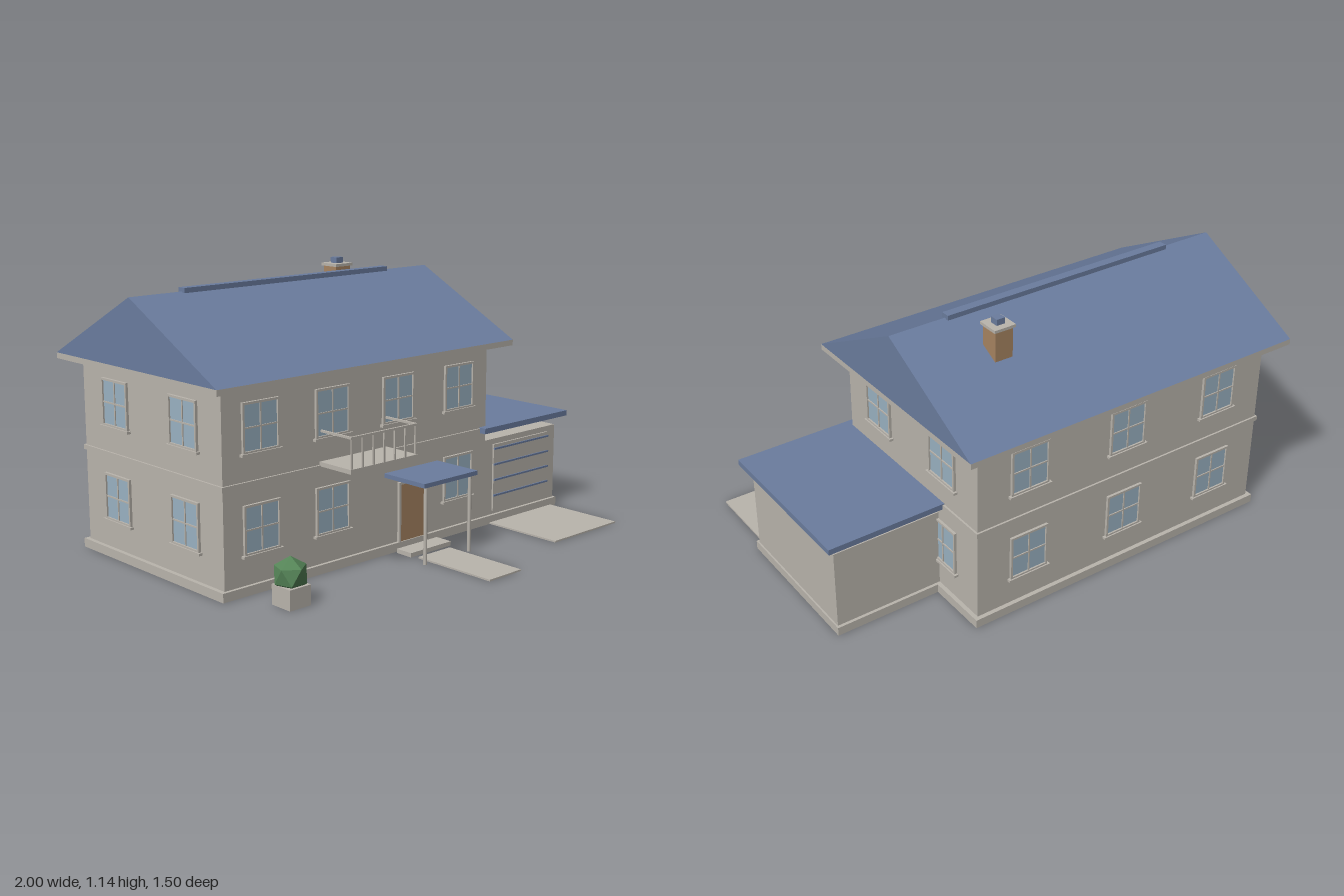
import * as THREE from 'three';

const mat = (name, color) => Object.assign(new THREE.MeshStandardMaterial({ color }), { name });

export function createModel() {
  const stone = mat('stone', 0xbab5ad);
  const roofBlue = mat('roof blue', 0x6b7d9f);
  const glass = mat('window glass', 0x9bb3c3);
  const wood = mat('brown', 0xa88562);
  const leaf = mat('leaf green', 0x568558);
  leaf.flatShading = true;

  const house = new THREE.Group();
  house.name = 'house';

  const add = (parent, name, geometry, material) => {
    const mesh = new THREE.Mesh(geometry, material);
    mesh.name = name;
    parent.add(mesh);
    return mesh;
  };
  // Box given by its limits along x, y and z
  const box = (name, material, [x0, x1], [y0, y1], [z0, z1], parent = house) => {
    const mesh = add(parent, name, new THREE.BoxGeometry(x1 - x0, y1 - y0, z1 - z0), material);
    mesh.position.set((x0 + x1) / 2, (y0 + y1) / 2, (z0 + z1) / 2);
    return mesh;
  };
  // Rectangular frame standing in the xy plane
  const frameGeometry = (w, h, border, depth) => {
    const rect = (type, a, b) => new type([
      new THREE.Vector2(-a, -b), new THREE.Vector2(a, -b),
      new THREE.Vector2(a, b), new THREE.Vector2(-a, b)]);
    const shape = rect(THREE.Shape, w / 2, h / 2);
    shape.holes.push(rect(THREE.Path, w / 2 - border, h / 2 - border));
    return new THREE.ExtrudeGeometry(shape, { depth, bevelEnabled: false });
  };

  // Walls, with a plinth and a belt course around the main block
  const L = -0.927, R = 0.493, F = 0.228, B = -0.678;
  box('mainWalls', stone, [L, R], [0, 0.8], [B, F]);
  box('mainPlinth', stone, [L - 0.018, R + 0.018], [0, 0.037], [B - 0.018, F + 0.014]);
  box('beltCourse', stone, [L - 0.008, R + 0.008], [0.417, 0.437], [B - 0.008, F + 0.008]);
  box('garageWalls', stone, [R, 0.96], [0, 0.376], [-0.415, F]);
  box('garagePlinth', stone, [R, 0.967], [0, 0.037], [-0.428, F + 0.014]);

  // Main roof: eave slab, gable prism and ridge cap
  box('eaves', stone, [-1, 0.575], [0.793, 0.817], [-0.755, 0.302]);
  const gable = new THREE.Shape([
    new THREE.Vector2(-0.302, 0.817), new THREE.Vector2(0.755, 0.817), new THREE.Vector2(0.227, 1.092)]);
  const roofGeometry = new THREE.ExtrudeGeometry(gable, { depth: 1.575, bevelEnabled: false });
  roofGeometry.rotateY(Math.PI / 2).translate(-1, 0, 0);
  add(house, 'mainRoof', roofGeometry, roofBlue);
  box('ridgeCap', roofBlue, [-0.757, 0.325], [1.087, 1.107], [-0.246, -0.208]);

  // Chimney
  box('chimneyStack', wood, [0.171, 0.251], [0.9, 1.103], [-0.448, -0.368]);
  box('chimneyCap', stone, [0.163, 0.259], [1.103, 1.115], [-0.456, -0.36]);
  box('chimneyPot', roofBlue, [0.192, 0.23], [1.115, 1.14], [-0.427, -0.389]);

  // Garage roof, door and drive
  box('garageRoof', roofBlue, [0.452, 1], [0.417, 0.441], [-0.457, 0.265]);
  box('garageDoor', stone, [0.543, 0.906], [0.053, 0.352], [F, F + 0.008]);
  for (const y of [0.333, 0.263, 0.193, 0.123]) {
    box('garageDoorRib', roofBlue, [0.543, 0.906], [y - 0.004, y + 0.004], [F + 0.006, F + 0.014]);
  }
  box('driveway', stone, [0.518, 0.93], [0, 0.007], [0.24, 0.609]);

  // Windows: pane, frame, crossed glazing bars and sill, facing +z before turning
  const addWindow = (x, y, z, turn) => {
    const win = new THREE.Group();
    win.name = 'window';
    box('pane', glass, [-0.08, 0.08], [-0.09, 0.09], [-0.002, 0.004], win);
    add(win, 'windowFrame', frameGeometry(0.175, 0.194, 0.009, 0.011), stone);
    box('verticalBar', stone, [-0.003, 0.003], [-0.09, 0.09], [0, 0.008], win);
    box('horizontalBar', stone, [-0.08, 0.08], [-0.003, 0.003], [0, 0.008], win);
    box('sill', stone, [-0.097, 0.097], [-0.105, -0.095], [0, 0.017], win);
    win.position.set(x, y, z);
    win.rotation.y = turn;
    house.add(win);
  };
  const lower = 0.251, upper = 0.64;
  for (const y of [lower, upper]) {
    for (const x of [-0.749, -0.393, -0.038, 0.318]) {
      if (y === upper || x !== -0.038) addWindow(x, y, F, 0);
    }
    for (const x of [-0.69, -0.217, 0.256]) addWindow(x, y, B, Math.PI);
    for (const z of [0, -0.45]) {
      addWindow(L, y, z, -Math.PI / 2);
      if (y === upper || z !== 0) addWindow(R, y, z, Math.PI / 2);
    }
  }

  // Entrance: door, porch roof on two posts, step and path
  box('frontDoor', wood, [-0.026, 0.111], [0.03, 0.28], [F, F + 0.009]);
  add(house, 'doorFrame', frameGeometry(0.156, 0.262, 0.01, 0.013), stone).position.set(0.0425, 0.158, F);
  box('porchRoof', roofBlue, [-0.11, 0.197], [0.322, 0.34], [F, 0.455]);
  for (const x of [-0.085, 0.171]) {
    add(house, 'porchPost', new THREE.CylinderGeometry(0.008, 0.008, 0.322, 12), stone)
      .position.set(x, 0.161, 0.437);
  }
  box('doorStep', stone, [-0.073, 0.16], [0.005, 0.023], [0.265, 0.346]);
  box('path', stone, [-0.049, 0.134], [0, 0.007], [0.365, 0.75]);

  // Balcony: floor, balusters and rails
  box('balconyFloor', stone, [-0.457, -0.099], [0.432, 0.45], [F, 0.405]);
  box('frontRail', stone, [-0.455, -0.101], [0.567, 0.576], [0.396, 0.405]);
  for (const x of [-0.455, -0.109]) {
    box('sideRail', stone, [x, x + 0.008], [0.567, 0.576], [F, 0.4]);
  }
  for (let i = 0; i < 7; i++) {
    const x = -0.448 + i * 0.0567;
    box('baluster', stone, [x - 0.0035, x + 0.0035], [0.45, 0.568], [0.397, 0.404]);
  }

  // Planter with a faceted shrub standing on one of its corners
  box('planter', stone, [-0.821, -0.72], [0, 0.08], [0.372, 0.475]);
  const shrub = new THREE.IcosahedronGeometry(0.07, 0);
  shrub.rotateX(-Math.atan((1 + Math.sqrt(5)) / 2));
  add(house, 'shrub', shrub, leaf).position.set(-0.771, 0.118, 0.42);

  return house;
}
